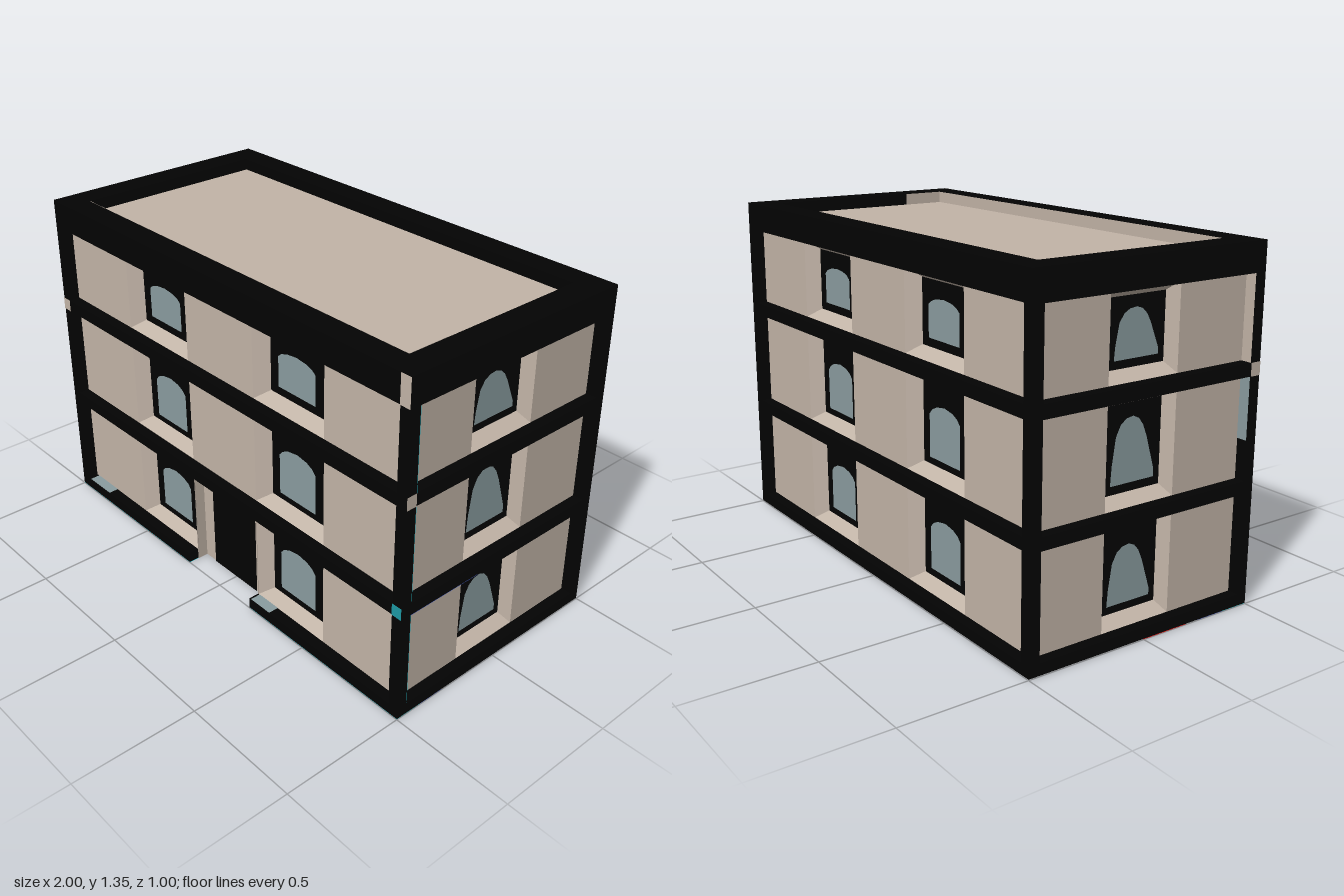
import * as THREE from 'three';

const makeMat = (name, color) => {
  const m = new THREE.MeshStandardMaterial({ color, side: THREE.DoubleSide });
  m.name = name;
  return m;
};
const stone = makeMat('beige stone', 0xc2b4a7);
const trim = makeMat('black trim', 0x030303);
const glass = makeMat('grey blue glass', 0x8a9c9f);
const teal = makeMat('teal', 0x1d98a3);
const navy = makeMat('navy', 0x34489a);
const red = makeMat('red', 0xd00a08);

const LEDGE = 0.044; // posts and bands stand this far out from the walls
const DEPTH = 0.09; // window frames and door sit this far in
const HEIGHT = 1.35;
const FLOORS = [[0.047, 0.439], [0.487, 0.874], [0.924, 1.239]];
const DOOR_BAY = [-0.2, 0.19];

function add(parent, name, geometry, material) {
  const mesh = new THREE.Mesh(geometry, material);
  mesh.name = name;
  parent.add(mesh);
  return mesh;
}

// Flat four-sided faces, corners counter-clockwise from the front
function quads(list) {
  const pos = [];
  for (const [a, b, c, d] of list) pos.push(...a, ...b, ...c, ...a, ...c, ...d);
  const g = new THREE.BufferGeometry();
  g.setAttribute('position', new THREE.Float32BufferAttribute(pos, 3));
  g.computeVertexNormals();
  return g;
}

const rect = (x0, x1, y0, y1, z = 0) =>
  [[x0, y0, z], [x1, y0, z], [x1, y1, z], [x0, y1, z]];
const level = (x0, x1, z0, z1, y) =>
  [[x0, y, z1], [x1, y, z1], [x1, y, z0], [x0, y, z0]];
const polygon = (pts) => new THREE.Shape(pts.map(([x, y]) => new THREE.Vector2(x, y)));
const box = (x, z) => [[-x, -z], [x, -z], [x, z], [-x, z]];

// Horizontal slab from an x, z outline with an optional hole
function slab(parent, name, outline, hole, y0, y1) {
  const flip = (pts) => pts.map(([x, z]) => [x, -z]);
  const shape = polygon(flip(outline));
  if (hole) shape.holes.push(polygon(flip(hole)));
  const g = new THREE.ExtrudeGeometry(shape, { depth: y1 - y0, bevelEnabled: false });
  g.rotateX(-Math.PI / 2);
  g.translate(0, y0, 0);
  add(parent, name, g, trim);
}

// Pane outlines: x in local units, y as a share of the pane height
const FRONT_PANE = [[-0.097, 0], [0.097, 0], [0.097, 0.8], [0.08, 0.89], [0.05, 0.96],
  [0, 1], [-0.05, 0.96], [-0.08, 0.89], [-0.097, 0.8]];
const SIDE_PANE = [[-0.095, 0], [0.1, 0], [0.1, 0.12], [0.063, 0.65], [0.045, 0.84],
  [0.025, 0.95], [0, 1], [-0.03, 0.98], [-0.055, 0.9], [-0.075, 0.73], [-0.09, 0.3]];

// Splayed window recess with a dark frame and an arched pane
function windowUnit(x0, x1, y0, y1, inset, pane, paneY) {
  const g = new THREE.Group();
  g.name = 'window';
  const o = rect(x0, x1, y0, y1, -LEDGE);
  const i = rect(x0 + inset, x1 - inset, y0 + 0.036, y1 - 0.035, -DEPTH);
  add(g, 'windowReveal', quads(o.map((p, k) => {
    const n = (k + 1) % 4;
    return [p, o[n], i[n], i[k]];
  })), stone);
  add(g, 'windowFrame', quads([i]), trim);
  const mid = (x0 + x1) / 2, [b, t] = paneY;
  const shape = polygon(pane.map(([x, y]) => [mid + x, b + y * (t - b)]));
  add(g, 'windowPane', new THREE.ShapeGeometry(shape), glass).position.z = -DEPTH + 0.003;
  return g;
}

// One wall, facing +z: panels and windows behind the ledges
function facade({ name, half, windows, inset, pane, paneYs, door }) {
  const g = new THREE.Group();
  g.name = name;
  const edges = [LEDGE - half, ...windows.flat(), half - LEDGE];
  FLOORS.forEach(([y0, y1], f) => {
    const panels = [];
    for (let k = 0; k < edges.length; k += 2)
      if (!(door && f === 0 && k === 2)) panels.push(rect(edges[k], edges[k + 1], y0, y1, -LEDGE));
    add(g, 'wallPanels', quads(panels), stone);
    for (const [a, b] of windows) g.add(windowUnit(a, b, y0, y1, inset, pane, paneYs[f]));
  });
  return g;
}

// Recessed entrance with straight sides
function entrance([x0, x1]) {
  const g = new THREE.Group();
  g.name = 'entrance';
  const top = FLOORS[0][1], z = -DEPTH, f = -LEDGE;
  add(g, 'entranceRecess', quads([
    rect(x0, x1, 0, top, z),
    [[x0, 0, f], [x0, 0, z], [x0, top, z], [x0, top, f]],
    [[x1, 0, z], [x1, 0, f], [x1, top, f], [x1, top, z]],
    [[x0, top, z], [x1, top, z], [x1, top, f], [x0, top, f]],
  ]), stone);
  add(g, 'door', quads([
    rect(-0.137, 0.13, 0, 0.378, z + 0.003), rect(0.13, -0.137, 0, 0.378, z - 0.003)]), trim);
  return g;
}

// Corner posts and floor bands standing out from the walls
function frame([x0, x1]) {
  const g = new THREE.Group();
  g.name = 'frame';
  for (const [y0, y1] of FLOORS)
    for (const sx of [-1, 1]) for (const sz of [-1, 1])
      add(g, 'cornerPost', new THREE.BoxGeometry(LEDGE, y1 - y0, LEDGE), trim)
        .position.set(sx * (1 - LEDGE / 2), (y0 + y1) / 2, sz * (0.5 - LEDGE / 2));
  const z = 0.5 - DEPTH;
  slab(g, 'baseBand', [[x0, 0.5], [-1, 0.5], [-1, -0.5], [1, -0.5], [1, 0.5], [x1, 0.5],
    [x1, z], [0.9, z], [0.9, -z], [-0.9, -z], [-0.9, z], [x0, z]], null, 0.004, FLOORS[0][0]);
  const inner = box(1 - LEDGE, 0.5 - LEDGE);
  slab(g, 'floorBand', box(1, 0.5), inner, FLOORS[0][1], FLOORS[1][0]);
  slab(g, 'floorBand', box(1, 0.5), inner, FLOORS[1][1], FLOORS[2][0]);
  return g;
}

// Parapet ring around a shallow sunken roof
function roof() {
  const g = new THREE.Group();
  g.name = 'roof';
  const X = 0.89, Z = 0.4, low = HEIGHT - 0.047, in_ = 0.002;
  slab(g, 'parapet', box(1, 0.5), box(X, Z), FLOORS[2][1], HEIGHT);
  add(g, 'roofDeck', quads([level(-X, X, -Z, Z, low)]), stone);
  add(g, 'parapetInnerLight', quads([
    rect(X, -X, low, HEIGHT, Z - in_),
    [[X - in_, low, 0.22], [X - in_, low, Z], [X - in_, HEIGHT, Z], [X - in_, HEIGHT, 0.22]],
  ]), stone);
  return g;
}

// Underside, open behind the entrance, with painted stripes along the front
function underside([x0, x1]) {
  const g = new THREE.Group();
  g.name = 'underside';
  const flat = (name, pts, mat, y) => {
    const m = add(g, name, new THREE.ShapeGeometry(polygon(pts)), mat);
    m.rotation.x = Math.PI / 2;
    m.position.y = y;
  };
  flat('basePlate', [[-1, -0.5], [1, -0.5], [1, 0.5], [x1, 0.5], [x1, 0.17],
    [x0, 0.17], [x0, 0.5], [-1, 0.5]], trim, 0.003);
  for (const [a, b] of [[-1, x0], [x1, 1]]) {
    flat('tealStripe', [[a, 0.385], [b, 0.385], [b, 0.5], [a, 0.5]], teal, 0.0015);
    const wave = [];
    for (let k = 0; k <= 10; k++)
      wave.push([a + (b - a) * k / 10, 0.26 + 0.03 * Math.sin(k * 0.9)]);
    flat('navyStripe', [...wave, [b, 0.385], [a, 0.385]], navy, 0.0015);
  }
  const oval = [];
  for (let k = 0; k <= 16; k++) {
    const a = -Math.PI / 2 + k * Math.PI / 16;
    oval.push([-1 + 0.43 * Math.cos(a), 0.1 + 0.1 * Math.sin(a)]);
  }
  flat('redPatch', oval, red, 0.001);
  return g;
}

// Odd painted patches on the posts and ledges
function patches() {
  const g = new THREE.Group();
  g.name = 'paintedPatches';
  const w = 1 - LEDGE, z = 0.5 - LEDGE, e = 0.002;
  const [[base, b1], [f2, b2], [f3, top]] = FLOORS;
  const sideBlock = (s) => {
    const q = [[s * (1 + e), b2, z], [s * (1 + e), f3, z], [s * (1 + e), f3, 0.5], [s * (1 + e), b2, 0.5]];
    return s > 0 ? q : q.reverse();
  };
  add(g, 'stonePatches', quads([
    rect(w, 1, top, HEIGHT, 0.5 + e), rect(-1, -w, b2, f3, 0.5 + e),
    sideBlock(1), sideBlock(-1), rect(-w, -1, f3, top, z - e)]), stone);
  add(g, 'tealPatches', quads([rect(w, 1, b1, f2, 0.5 + e),
    ...FLOORS.map(([y0, y1]) => rect(1, w, y0, y1, z - e))]), teal);
  add(g, 'greyBluePatches', quads([rect(-w, -1, 0.64, b2, z - e),
    level(-0.94, -0.79, z, 0.5, base + e), level(0.2, 0.31, z, 0.5, base + e)]), glass);
  add(g, 'navyPatch', quads([level(w, 1, 0.12, z, b1 - e).reverse()]), navy);
  return g;
}

export function createModel() {
  const model = new THREE.Group();
  model.name = 'building';
  const long = {
    half: 1, windows: [[-0.573, -0.196], [0.193, 0.568]], inset: 0.046,
    pane: FRONT_PANE, paneYs: [[0.113, 0.32], [0.55, 0.755], [0.993, 1.143]],
  };
  const short = {
    half: 0.5, windows: [[-0.157, 0.147]], inset: 0.024,
    pane: SIDE_PANE, paneYs: [[0.113, 0.33], [0.555, 0.79], [0.99, 1.163]],
  };

  const front = facade({ ...long, name: 'frontWall', door: DOOR_BAY });
  front.add(entrance(DOOR_BAY));
  front.position.z = 0.5;
  const back = facade({ ...long, name: 'backWall' });
  back.position.z = -0.5;
  back.rotation.y = Math.PI;
  model.add(front, back);
  for (const s of [1, -1]) {
    const wall = facade({ ...short, name: s > 0 ? 'leftWall' : 'rightWall' });
    wall.position.x = s;
    wall.rotation.y = s * Math.PI / 2;
    model.add(wall);
  }

  model.add(frame(DOOR_BAY), roof(), underside(DOOR_BAY), patches());
  return model;
}
